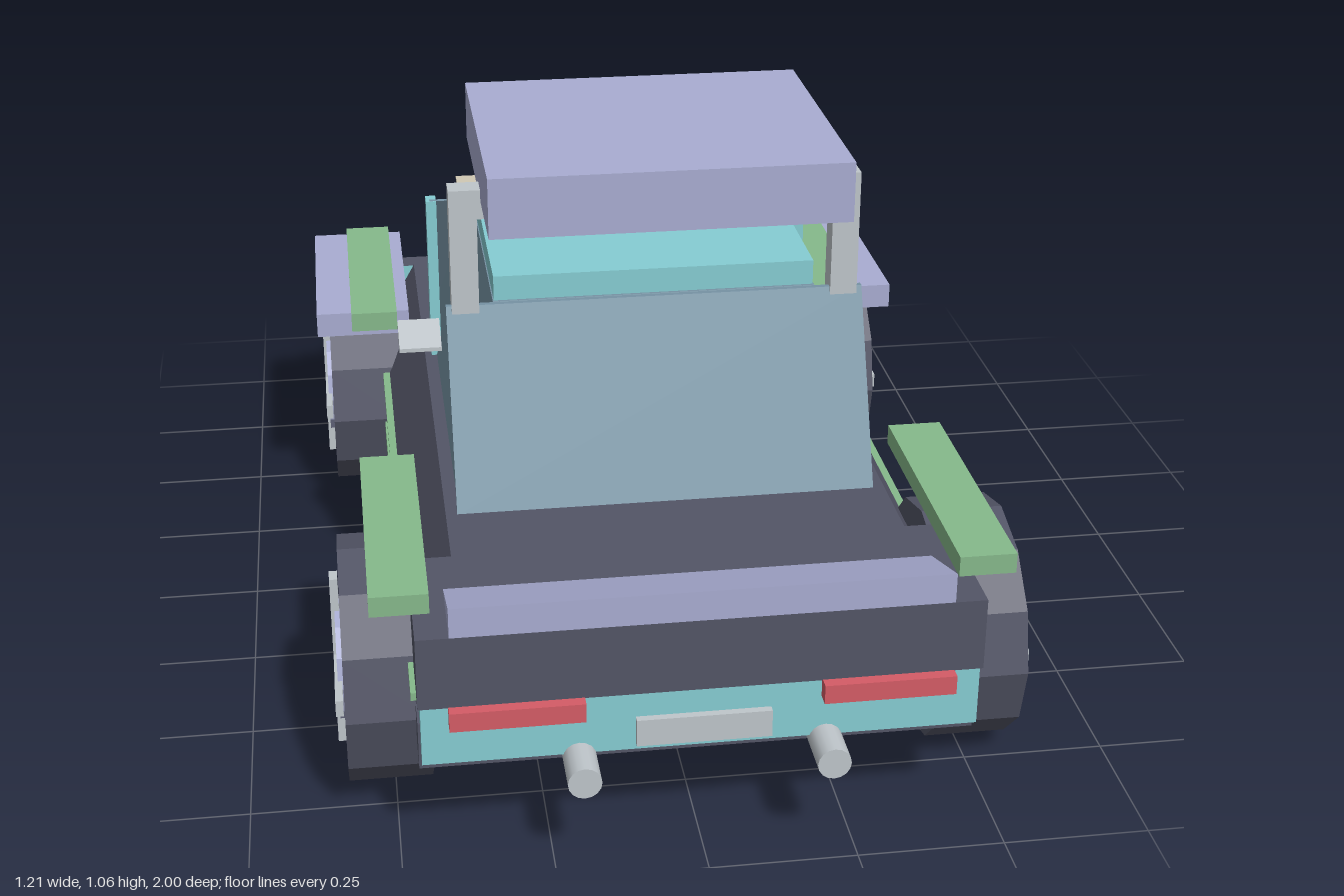
import * as THREE from 'three';

const paint = (name, color) => {
  const m = new THREE.MeshStandardMaterial({ color });
  m.name = name;
  return m;
};

export function createModel() {
  const car = new THREE.Group();
  car.name = 'car';
  const dark = paint('charcoal', 0x535566);
  const teal = paint('turquoise', 0x86cdd3);
  const lilac = paint('lavender', 0xa9add2);
  const green = paint('green', 0x86b98b);
  const grey = paint('light grey', 0xbfc6cb);
  const tan = paint('tan', 0xd0c8b4);
  const red = paint('red', 0xd45c66);
  const glass = paint('glass blue', 0x7693a4);

  const add = (name, geo, mat, parent = car) => {
    const mesh = new THREE.Mesh(geo, mat);
    mesh.name = name;
    parent.add(mesh);
    return mesh;
  };
  // Box given by its limits on each axis
  const box = (name, mat, x0, x1, y0, y1, z0, z1) => {
    const g = new THREE.BoxGeometry(x1 - x0, y1 - y0, z1 - z0);
    g.translate((x0 + x1) / 2, (y0 + y1) / 2, (z0 + z1) / 2);
    return add(name, g, mat);
  };
  // The same box on both sides of the car
  const pair = (name, mat, x0, x1, ...rest) => {
    box(name + 'Left', mat, x0, x1, ...rest);
    box(name + 'Right', mat, -x1, -x0, ...rest);
  };
  // Side profile of [z, y] points, extruded from x0 to x1
  const profile = (name, mat, points, x0, x1) => {
    const shape = new THREE.Shape(points.map(([z, y]) => new THREE.Vector2(z, y)));
    const g = new THREE.ExtrudeGeometry(shape, { depth: x1 - x0, bevelEnabled: false });
    g.rotateY(-Math.PI / 2).translate(x1, 0, 0);
    return add(name, g, mat);
  };
  // Box with separate half width and z limits for the bottom and the top
  const taper = (name, mat, y0, y1, [wb, zb0, zb1], [wt, zt0, zt1]) => {
    const g = new THREE.BoxGeometry(2, 2, 2);
    const p = g.attributes.position;
    for (let i = 0; i < p.count; i++) {
      const top = p.getY(i) > 0;
      const back = p.getZ(i) < 0;
      p.setXYZ(i, p.getX(i) * (top ? wt : wb), top ? y1 : y0,
        top ? (back ? zt0 : zt1) : (back ? zb0 : zb1));
    }
    g.computeVertexNormals();
    return add(name, g, mat);
  };

  // Chassis and body shell
  box('chassis', dark, -0.464, 0.464, 0.165, 0.25, -0.81, 0.89);
  profile('lowerBody', teal, [[0.925, 0.195], [0.925, 0.305], [-0.64, 0.305],
    [-0.64, 0.43], [-0.86, 0.3], [-0.86, 0.2]], -0.46, 0.46);
  taper('upperBody', dark, 0.305, 0.432, [0.462, -0.64, 0.68], [0.39, -0.64, 0.68]);
  box('rearDeck', dark, -0.464, 0.464, 0.303, 0.432, 0.67, 0.93);
  profile('rearSpoiler', lilac, [[0.93, 0.43], [0.93, 0.485], [0.77, 0.43]], -0.41, 0.41);

  // Side trim
  pair('sideTrim', green, 0.45, 0.473, 0.296, 0.31, -0.81, 0.89);
  pair('sill', green, 0.45, 0.474, 0.172, 0.207, -0.36, 0.44);
  for (const z of [0.31, -0.02]) pair('doorGap', dark, 0.456, 0.463, 0.25, 0.297, z - 0.007, z + 0.007);
  pair('doorHandle', grey, 0.455, 0.47, 0.27, 0.285, 0.19, 0.27);

  // Hood
  box('hoodPanel', lilac, -0.315, 0.315, 0.43, 0.45, -0.57, -0.35);
  profile('hoodScoop', dark, [[-0.32, 0.43], [-0.32, 0.49], [-0.45, 0.455], [-0.45, 0.43]], -0.11, 0.11);

  // Cabin: leaning side windows between full-width screens
  taper('cabinGlass', glass, 0.43, 0.76, [0.367, -0.37, 0.515], [0.287, -0.16, 0.36]);
  profile('windshield', glass, [[-0.365, 0.43], [-0.155, 0.76], [-0.165, 0.76], [-0.38, 0.43]], -0.37, 0.37);
  profile('rearWindow', glass, [[0.525, 0.43], [0.372, 0.76], [0.362, 0.76], [0.515, 0.43]], -0.37, 0.37);
  pair('windshieldPillar', teal, 0.357, 0.377, 0.43, 0.76, -0.187, -0.152);
  box('windshieldHeader', teal, -0.287, 0.287, 0.74, 0.765, -0.165, -0.11);
  box('roof', teal, -0.285, 0.285, 0.757, 0.805, -0.115, 0.355);
  box('roofLightBar', tan, -0.32, 0.32, 0.78, 0.83, -0.1, -0.05);
  for (const s of [1, -1]) {
    const xs = s > 0 ? [0.36, 0.443] : [-0.443, -0.36];
    profile('sideMirror', grey, [[-0.07, 0.477], [-0.145, 0.477], [-0.145, 0.485], [-0.07, 0.515]].map(
      ([z, y]) => [-0.215 - z, y]), ...xs);
  }

  // Raised wing on two posts
  pair('wingPost', grey, 0.312, 0.36, 0.48, 0.975, 0.335, 0.378);
  box('wingCrossbar', grey, -0.36, 0.36, 0.922, 0.975, 0.335, 0.378);
  box('wing', lilac, -0.305, 0.305, 0.955, 1.06, 0.04, 0.56);

  // Fenders
  pair('frontFender', lilac, 0.415, 0.604, 0.415, 0.465, -0.76, -0.31);
  pair('frontFenderCap', green, 0.44, 0.533, 0.432, 0.471, -0.78, -0.29);
  pair('rearFenderCap', green, 0.436, 0.533, 0.435, 0.471, 0.36, 0.855);

  // Wheels: twelve-sided tyre, hub disc and crossed spokes
  const disc = (r, w) => new THREE.CylinderGeometry(r, r, w, 12).toNonIndexed().rotateZ(Math.PI / 2);
  const flat = (g) => { g.computeVertexNormals(); return g; };
  for (const s of [1, -1]) for (const z of [0.61, -0.53]) {
    const wheel = new THREE.Group();
    wheel.name = (z > 0 ? 'rear' : 'front') + 'Wheel' + (s > 0 ? 'Left' : 'Right');
    wheel.position.set(s * 0.508, 0.214, z);
    add('tyre', flat(disc(0.212, 0.144)), dark, wheel);
    add('hub', flat(disc(0.105, 0.02)), lilac, wheel).position.x = s * 0.072;
    add('spokeUpright', new THREE.BoxGeometry(0.014, 0.325, 0.03), grey, wheel).position.x = s * 0.081;
    add('spokeLevel', new THREE.BoxGeometry(0.013, 0.03, 0.325), grey, wheel).position.x = s * 0.081;
    car.add(wheel);
  }

  // Nose
  pair('headlight', tan, 0.2, 0.41, 0.27, 0.305, -0.88, -0.85);
  box('grille', dark, -0.14, 0.14, 0.22, 0.28, -0.885, -0.85);
  profile('splitter', grey, [[-0.86, 0.17], [-0.945, 0.17], [-0.945, 0.207]], -0.445, 0.445);
  box('bumper', dark, -0.51, 0.51, 0.25, 0.318, -0.97, -0.905);
  const winch = flat(new THREE.CylinderGeometry(0.044, 0.044, 0.22, 10).toNonIndexed());
  add('winch', winch.rotateZ(Math.PI / 2).translate(0, 0.292, -0.956), dark);

  // Tail
  pair('tailLight', red, 0.195, 0.415, 0.27, 0.304, 0.92, 0.95);
  box('tailPlate', grey, -0.112, 0.112, 0.208, 0.257, 0.92, 0.938);
  for (const s of [1, -1]) {
    const pipe = new THREE.CylinderGeometry(0.028, 0.028, 0.12, 16).rotateX(Math.PI / 2);
    add('exhaust', pipe, grey).position.set(s * 0.204, 0.187, 0.94);
  }
  return car;
}
